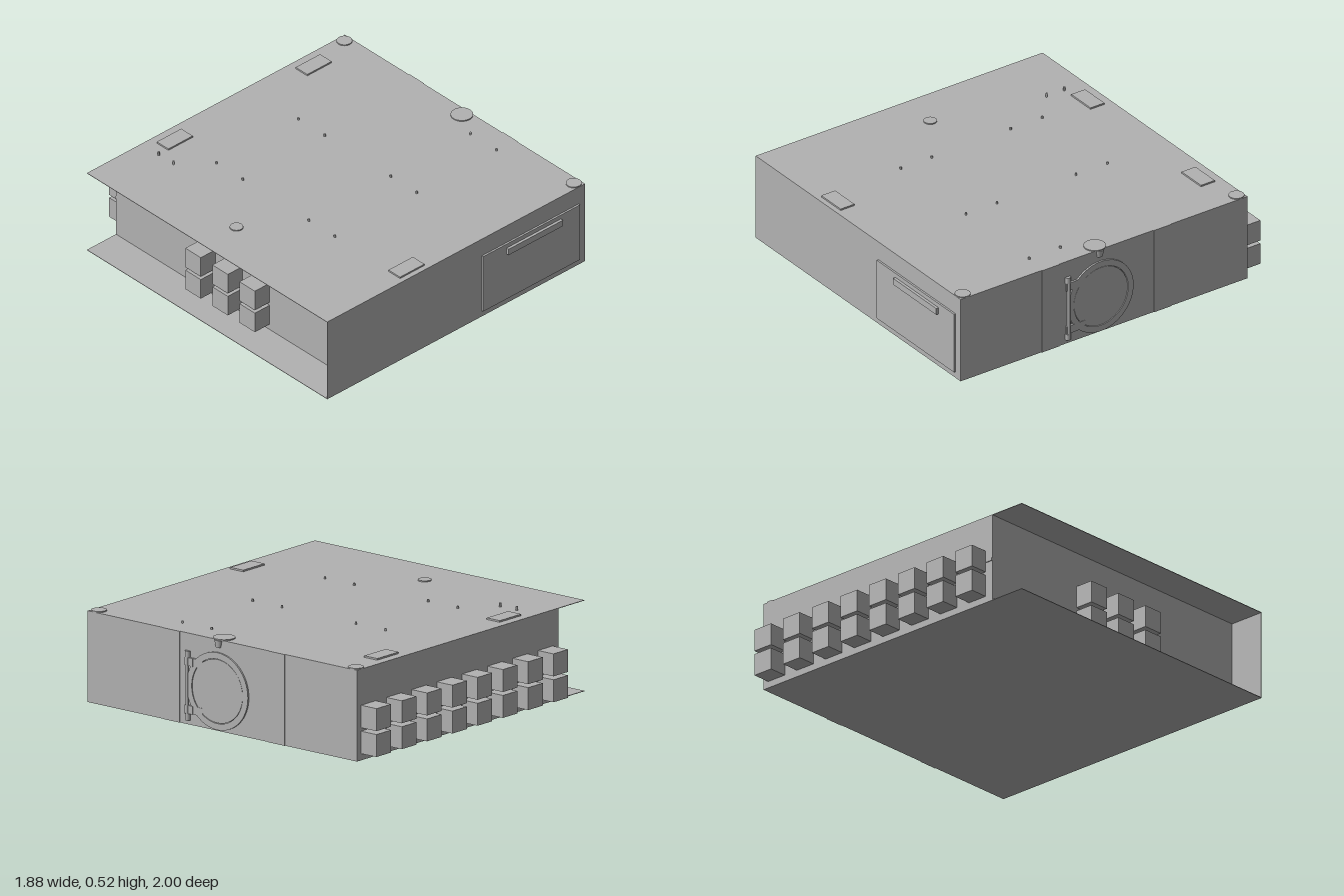
import * as THREE from 'three';

const grey = new THREE.MeshStandardMaterial({ color: 0xb2b2b2 });
grey.name = 'sheet metal grey';

// overall cabinet extents
const L = -0.94, R = 0.922, BACK = -0.893, FRONT = 0.973, BOTTOM = 0.003, TOP = 0.503, WALL = -0.73;

export function createModel() {
  const model = new THREE.Group();
  model.name = 'equipmentCabinet';

  function add(name, geometry, x = 0, y = 0, z = 0) {
    const mesh = new THREE.Mesh(geometry, grey);
    mesh.name = name;
    mesh.position.set(x, y, z);
    model.add(mesh);
    return mesh;
  }
  // box given by its minimum and maximum corners
  function block(name, x0, x1, y0, y1, z0, z1) {
    return add(name, new THREE.BoxGeometry(x1 - x0, y1 - y0, z1 - z0),
      (x0 + x1) / 2, (y0 + y1) / 2, (z0 + z1) / 2);
  }
  // flat ring or disc lying on the side wall
  function sidePlate(name, outer, inner, depth, y, z) {
    const shape = new THREE.Shape().absarc(0, 0, outer, 0, Math.PI * 2);
    if (inner) shape.holes.push(new THREE.Path().absarc(0, 0, inner, 0, Math.PI * 2, true));
    const geometry = new THREE.ExtrudeGeometry(shape, { depth, bevelEnabled: false, curveSegments: 32 });
    geometry.rotateY(Math.PI / 2);
    return add(name, geometry, R, y, z);
  }

  // cabinet body, with top, bottom and front sheets running past the recessed left wall
  const t = 0.003;
  block('cabinetBody', WALL, R, BOTTOM, TOP, BACK, FRONT);
  block('topOverhang', L, WALL, TOP - t, TOP, BACK, FRONT);
  block('bottomOverhang', L, WALL, BOTTOM, BOTTOM + t, BACK, FRONT);
  block('frontOverhang', L, WALL, BOTTOM + t, TOP - t, FRONT - t, FRONT);

  // connector blocks in two rows: eight on the back, three on the left wall
  for (const y of [0.04, 0.182]) {
    for (let i = 0; i < 8; i++) {
      const x = -0.68 + i * 0.207;
      block('backConnector', x, x + 0.12, y, y + 0.123, -1, BACK);
    }
    for (let i = 0; i < 3; i++) {
      const z = -0.24 + i * 0.21;
      block('leftConnector', WALL - 0.107, WALL, y, y + 0.123, z, z + 0.12);
    }
  }
  for (let i = 0; i < 8; i++) {
    const x = -0.728 + i * 0.207;
    block('backTab', x, x + 0.046, 0.235, 0.25, BACK - 0.005, BACK);
  }

  // front access panel and its handle
  block('frontPanel', 0.175, 0.877, 0.04, 0.395, FRONT, 0.984);
  block('panelHandle', 0.345, 0.738, 0.332, 0.37, 0.984, 1);

  // upright straps on the right wall
  for (const z of [0.333, -0.395]) {
    block('sideStrap', R, R + 0.004, BOTTOM, TOP, z, z + 0.113);
  }

  // round hatch with hinge and latch
  const hy = 0.222, hz = 0.067;
  sidePlate('hatchRing', 0.212, 0.177, 0.01, hy, hz);
  sidePlate('hatchDoor', 0.174, 0, 0.008, hy, hz);
  for (const y of [0.065, 0.327]) {
    block('hingeArm', R, R + 0.01, y, y + 0.045, 0.17, 0.27);
    block('hingeBracket', R, R + 0.012, y, y + 0.045, 0.235, 0.292);
  }
  add('hingePin', new THREE.CylinderGeometry(0.009, 0.009, 0.37, 16), R + 0.009, 0.215, 0.277);
  for (const y of [0.045, 0.39]) {
    add('hingeKnuckle', new THREE.CylinderGeometry(0.016, 0.016, 0.035, 16), R + 0.002, y, 0.277);
  }
  const latch = add('hatchLatch', new THREE.CylinderGeometry(0.025, 0.017, 0.04, 16), R, 0.482, hz);
  latch.scale.x = 0.7;

  // low round pads on the roof
  for (const [x, z, r] of [[-0.7, 0.01, 0.036], [0.875, 0.067, 0.06], [0.88, 0.93, 0.042], [0.88, -0.851, 0.042]]) {
    add('roofPad', new THREE.CylinderGeometry(r, r, 0.006, 32), x, TOP + 0.003, z);
  }
  // rectangular roof plates
  for (const [x, z] of [[-0.298, 0.898], [-0.395, -0.797], [0.608, -0.797]]) {
    block('roofPlate', x - 0.088, x + 0.088, TOP, TOP + 0.009, z - 0.045, z + 0.045);
  }
  // small roof pins
  function pin(x, z, height) {
    add('roofPin', new THREE.CylinderGeometry(0.006, 0.006, height, 12), x, TOP + height / 2, z);
  }
  for (const z of [0.43, 0.228, -0.285, -0.49]) {
    for (const x of [-0.38, 0.212]) pin(x, z, 0.013);
    if (z > 0) pin(0.787, z, 0.013);
  }
  for (const z of [-0.64, -0.755]) pin(-0.55, z, 0.022);

  return model;
}
